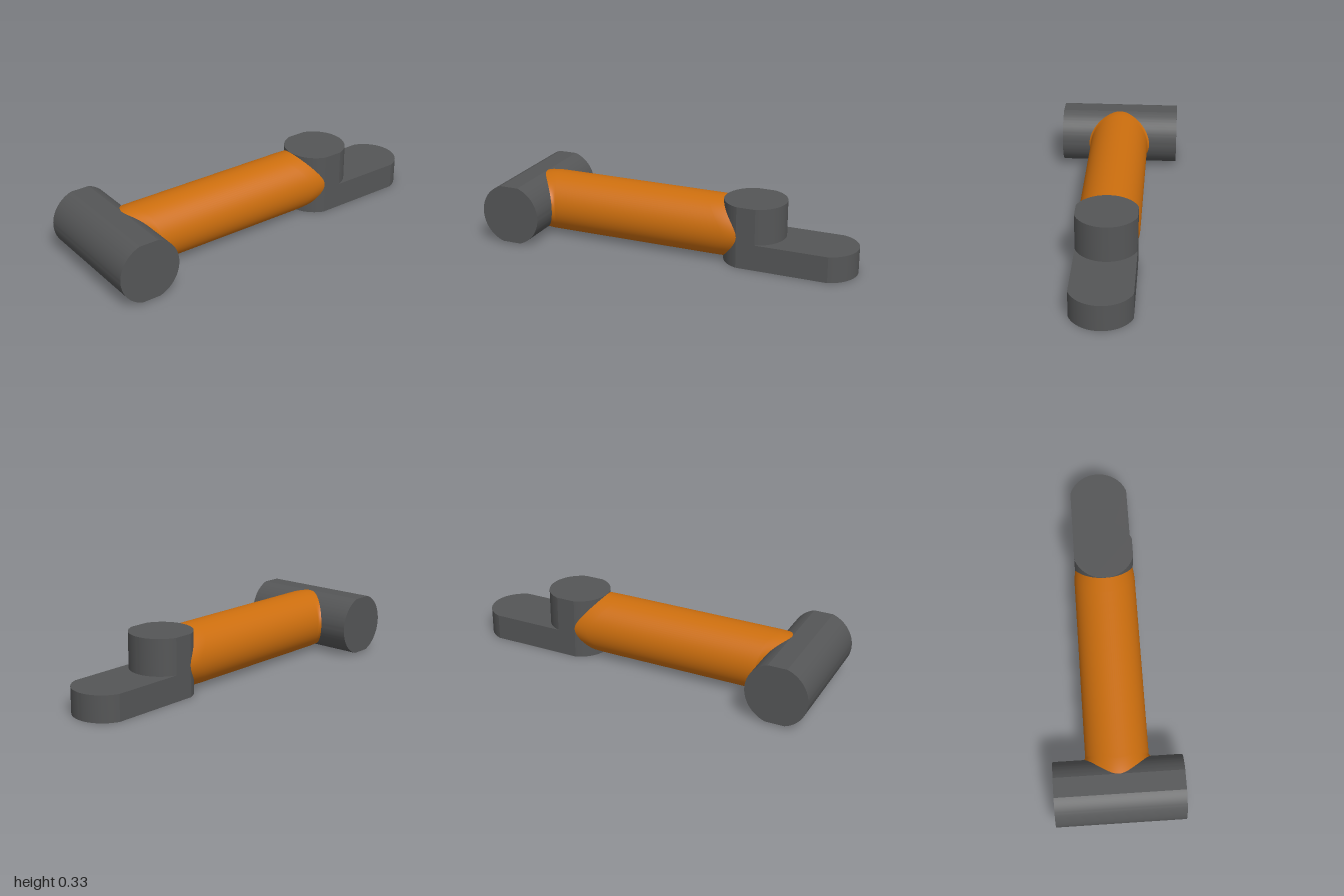
import * as THREE from 'three';
import { toCreasedNormals } from 'three/addons/utils/BufferGeometryUtils.js';
import { ParametricGeometry } from 'three/addons/geometries/ParametricGeometry.js';

const R = 0.166;        // joint radius
const HALF = 0.158;     // half distance between the joint flats
const TUBE_R = 0.1645;  // link tube radius
const AXIS_Y = 0.168;   // tube height
const LEFT_X = -0.834, RIGHT_X = 0.445, TIP_X = 0.834;

// Round-ended bar with flats on both long sides; x0 === x1 gives a flatted cylinder
function flattedBar(x0, x1, depth) {
  const a = Math.asin(HALF / R);
  const shape = new THREE.Shape();
  shape.absarc(x1, 0, R, -a, a, false);
  shape.absarc(x0, 0, R, Math.PI - a, Math.PI + a, false);
  shape.closePath();
  const geo = new THREE.ExtrudeGeometry(shape, { depth, bevelEnabled: false, curveSegments: 24 });
  return toCreasedNormals(geo, 0.25);
}

// Tube skin whose two ends are trimmed against the crosswise joints
function tubePoint(u, v, target) {
  const angle = v * Math.PI * 2, c = Math.cos(angle), s = Math.sin(angle);
  const startOffset = 0.011 * c * c - 0.0065 * s * s; // flares at the sides, tapers above and below
  const endOffset = -0.0065 * c * c;
  const reach = (h) => Math.sqrt(Math.max(R * R - h * h, 0.0026));
  const xs = LEFT_X + reach((TUBE_R + startOffset) * s);
  const xe = RIGHT_X - reach((TUBE_R + endOffset) * c);
  const startLen = 0.015 + 0.065 * s * s, endLen = 0.08;
  const k = u * 21;
  let x, r = TUBE_R;
  if (k <= 10) {
    x = xs + startLen * k / 10;
    r += startOffset * (1 - k / 10) ** 2;
  } else if (k >= 11) {
    x = xe - endLen * (21 - k) / 10;
    r += endOffset * ((k - 11) / 10) ** 2;
  } else {
    x = THREE.MathUtils.lerp(xs + startLen, xe - endLen, k - 10);
  }
  target.set(x, AXIS_Y + r * s, r * c);
}

export function createModel() {
  const model = new THREE.Group();
  model.name = 'armLink';
  const grey = new THREE.MeshStandardMaterial({ color: 0x555657 });
  const orange = new THREE.MeshStandardMaterial({ color: 0xcc6e0e, side: THREE.DoubleSide });

  const add = (name, geometry, material) => {
    const mesh = new THREE.Mesh(geometry, material);
    mesh.name = name;
    model.add(mesh);
    return mesh;
  };

  // Horizontal joint, running front to back
  add('horizontalJoint', flattedBar(LEFT_X, LEFT_X, 0.666), grey).position.set(0, AXIS_Y, -0.333);

  // Link tube
  add('linkTube', new ParametricGeometry(tubePoint, 21, 96), orange);

  // Upright joint, standing on the end plate
  const upright = add('uprightJoint', flattedBar(RIGHT_X, RIGHT_X, 0.194), grey);
  upright.rotation.x = -Math.PI / 2;
  upright.position.y = 0.14;

  // End plate with rounded tip
  add('endPlate', flattedBar(RIGHT_X, TIP_X, 0.14), grey).rotation.x = -Math.PI / 2;

  return model;
}
